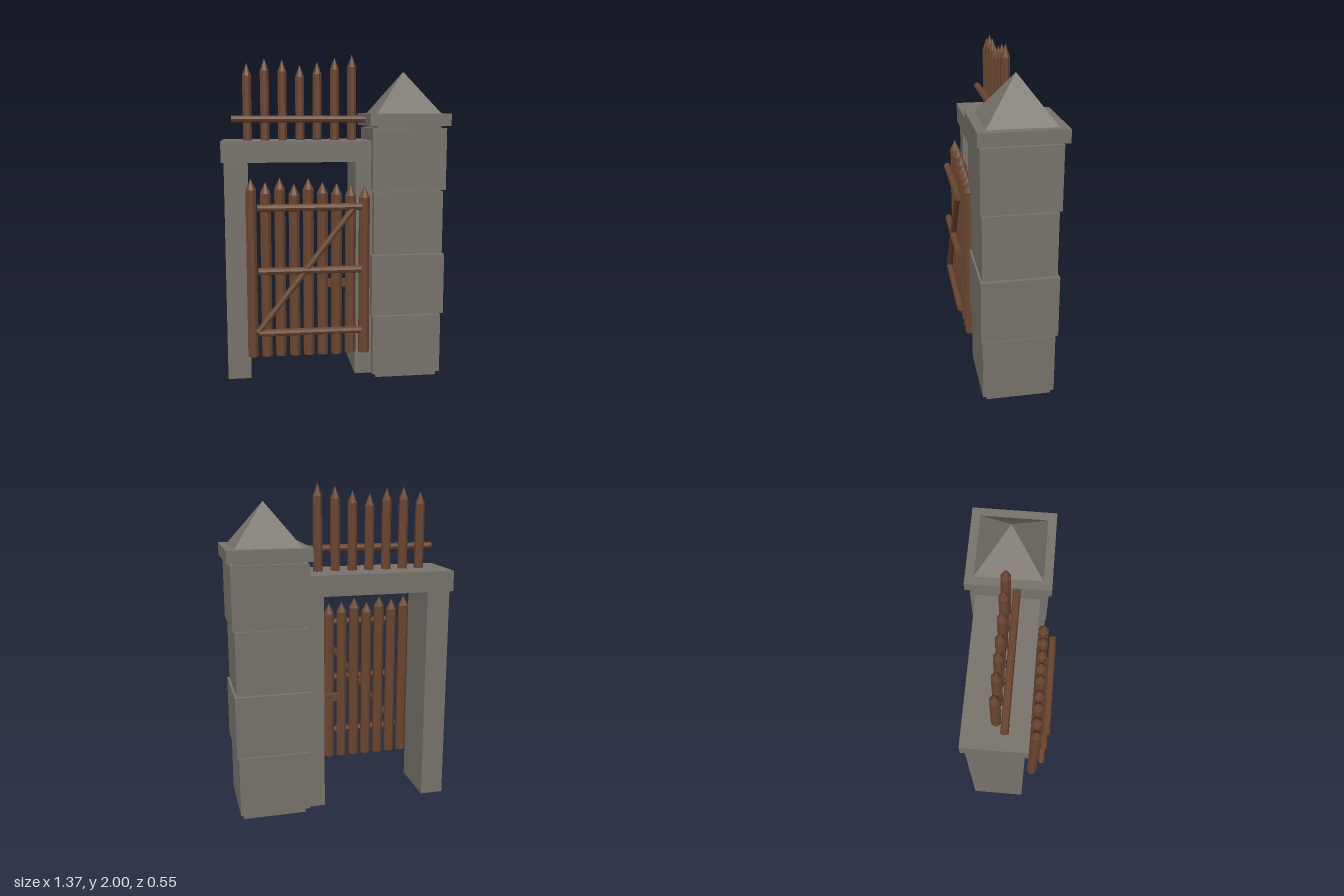
import * as THREE from 'three';

const stone = new THREE.MeshStandardMaterial({ color: 0x78736b, flatShading: true });
stone.name = 'grey stone';
const wood = new THREE.MeshStandardMaterial({ color: 0x6a4530, flatShading: true });
wood.name = 'brown wood';

function add(parent, name, geometry, material) {
  const mesh = new THREE.Mesh(geometry, material);
  mesh.name = name;
  parent.add(mesh);
  return mesh;
}

// Box given by its lower and upper limits on each axis
function block(parent, name, [x0, x1], [y0, y1], [z0, z1], material = stone) {
  const mesh = add(parent, name, new THREE.BoxGeometry(x1 - x0, y1 - y0, z1 - z0), material);
  mesh.position.set((x0 + x1) / 2, (y0 + y1) / 2, (z0 + z1) / 2);
}

// Upright round stake with a sharpened tip
function stake(parent, name, x, z, bottom, top, radius, tip) {
  const profile = [[0, bottom], [radius, bottom], [radius, top - tip], [0, top]];
  const points = profile.map(([r, y]) => new THREE.Vector2(r, y));
  const geometry = new THREE.LatheGeometry(points, 8);
  geometry.rotateY(Math.PI / 8);
  add(parent, name, geometry, wood).position.set(x, 0, z);
}

// Round pole between two points
function pole(parent, name, from, to, radius) {
  const a = new THREE.Vector3(...from), b = new THREE.Vector3(...to);
  const direction = b.clone().sub(a);
  const geometry = new THREE.CylinderGeometry(radius, radius, direction.length(), 8);
  const mesh = add(parent, name, geometry, wood);
  mesh.position.copy(a).add(b).multiplyScalar(0.5);
  mesh.quaternion.setFromUnitVectors(new THREE.Vector3(0, 1, 0), direction.normalize());
}

export function createModel() {
  const model = new THREE.Group();
  model.name = 'stoneGateway';

  // Pillar: inner core, four stacked blocks, cap slab and pyramid
  const pillar = new THREE.Group();
  pillar.name = 'pillar';
  model.add(pillar);
  block(pillar, 'pillarCore', [0.245, 0.632], [0, 1.6], [-0.222, 0.165]);
  [[0.03, 0.4], [0.412, 0.787], [0.793, 1.175], [1.186, 1.558]].forEach((height, i) => {
    const wide = i % 2 === 1;
    block(pillar, 'pillarBlock', wide ? [0.211, 0.662] : [0.221, 0.649], height,
      wide ? [-0.25, 0.199] : [-0.238, 0.189]);
  });
  block(pillar, 'pillarCap', [0.193, 0.684], [1.571, 1.646], [-0.276, 0.214]);
  const roof = new THREE.ConeGeometry(0.195 * Math.SQRT2, 0.255, 4);
  roof.rotateY(Math.PI / 4);
  add(pillar, 'pillarPyramid', roof, stone).position.set(0.439, 1.773, -0.031);

  // Doorway: two posts under a lintel
  block(model, 'leftwardPost', [-0.672, -0.53], [0.02, 1.36], [-0.2, 0.135]);
  block(model, 'pillarSidePost', [0.117, 0.259], [0.02, 1.36], [-0.2, 0.135]);
  block(model, 'lintel', [-0.688, 0.25], [1.357, 1.482], [-0.22, 0.154]);

  // Gate: nine stakes, three rails, a brace and a latch behind
  const gate = new THREE.Group();
  gate.name = 'gate';
  model.add(gate);
  [1.267, 1.246, 1.27, 1.235, 1.267, 1.243, 1.235, 1.227, 1.214].forEach((top, i) => {
    stake(gate, 'gateStake', -0.516 + i * 0.0848, 0.192, 0.185, top, 0.034, 0.066);
  });
  for (const y of [0.345, 0.722, 1.1]) {
    pole(gate, 'gateRail', [-0.48, y, 0.252], [0.138, y, 0.252], 0.022);
  }
  pole(gate, 'gateBrace', [-0.485, 0.35, 0.252], [0.095, 1.1, 0.252], 0.019);
  block(gate, 'gateLatch', [-0.07, 0.06], [0.593, 0.638], [0.125, 0.165], wood);

  // Spikes above the lintel with one long rail in front
  const crest = new THREE.Group();
  crest.name = 'crest';
  model.add(crest);
  [1.947, 1.976, 1.97, 1.94, 1.957, 1.984, 2].forEach((top, i) => {
    stake(crest, 'crestSpike', -0.528 + i * 0.1073, -0.034, 1.47, top, 0.029, 0.075);
  });
  pole(crest, 'crestRail', [-0.625, 1.612, 0.02], [0.26, 1.612, 0.02], 0.022);

  return model;
}
